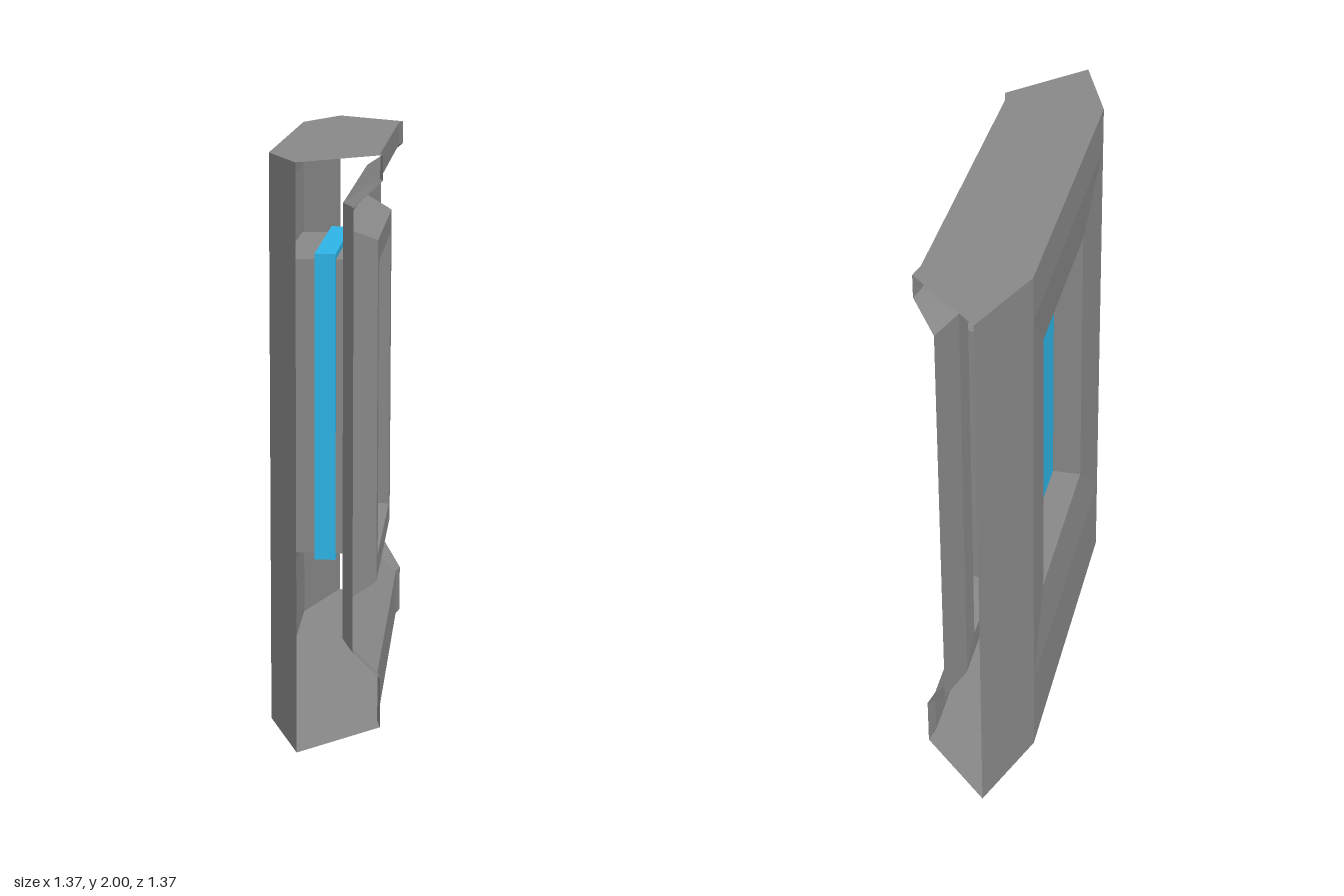
import * as THREE from 'three';

// Wall panel with a window, built facing +z and then turned 45 degrees.
// Points are [x along the wall, y, z through the wall].
const MID = 1.068; // height of the window centre

function mesh(name, quads) {
  const pos = [];
  for (const [a, b, c, d] of quads) pos.push(...a, ...b, ...c, ...a, ...c, ...d);
  const g = new THREE.BufferGeometry();
  g.setAttribute('position', new THREE.Float32BufferAttribute(pos, 3));
  g.computeVertexNormals();
  const m = new THREE.Mesh(g, new THREE.MeshStandardMaterial({
    color: 0x888888, flatShading: true, side: THREE.DoubleSide }));
  m.name = name;
  return m;
}

// Rectangle of half width w and half height h, centred on the window
const rect = (w, h, z) => [[-w, MID - h, z], [w, MID - h, z], [w, MID + h, z], [-w, MID + h, z]];

// Bands joining successive rectangles; flip for the rear side
function rings(rects, flip = false) {
  const out = [];
  for (let k = 0; k + 1 < rects.length; k++) {
    const o = rects[k], n = rects[k + 1];
    for (let i = 0; i < 4; i++) {
      const j = (i + 1) % 4, q = [o[i], o[j], n[j], n[i]];
      out.push(flip ? q.reverse() : q);
    }
  }
  return out;
}

// Strip between two rows of points
function strip(low, high) {
  return low.slice(1).map((p, i) => [low[i], p, high[i + 1], high[i]]);
}

// Mirrored rows across the front and back faces
const row = (y, half) => [
  ...half.map(([x, z]) => [-x, y, z]),
  ...half.slice().reverse().map(([x, z]) => [x, y, z])];

export function createModel() {
  const panel = new THREE.Group();
  panel.name = 'windowPanel';
  const OUT = [[0.70, 0.267], [0.637, 0.254]];  // lip profile
  const IN = [[0.791, 0.176], [0.637, 0.13]];   // recess profile
  const BACK = [[0.968, 0], [0.637, -0.121]];   // rear profile
  const LOW = 0.302, HIGH = 1.834;              // recess height range

  // Lips and bevels above and below the recess
  const levels = [[0, OUT], [0.18, OUT], [LOW, IN], [HIGH, IN], [1.915, OUT], [2, OUT]];
  const rows = levels.map(([y, half]) => row(y, half));
  panel.add(mesh('lowerLip', [...strip(rows[0], rows[1]), ...strip(rows[1], rows[2])]));
  panel.add(mesh('upperLip', [...strip(rows[3], rows[4]), ...strip(rows[4], rows[5])]));

  // Sloping sides of the recess
  const sides = strip(rows[2], rows[3]);
  panel.add(mesh('recessSides', [sides[0], sides[2]]));

  // Recess floor, raised trim and front reveal
  panel.add(mesh('frontTrim', rings([
    rect(0.637, 0.766, 0.13), rect(0.532, 0.668, 0.125), rect(0.445, 0.614, 0.237),
    rect(0.367, 0.534, 0.237), rect(0.367, 0.534, 0.085)])));

  // Rear wall around the splayed opening
  const b = [0, LOW, HIGH, 2].map(y => row(y, BACK));
  const rear = [];
  for (let k = 0; k < 3; k++) {
    strip(b[k], b[k + 1]).forEach((q, i) => {
      if (k !== 1 || i !== 1) rear.push(q.reverse());
    });
  }
  panel.add(mesh('rearWall', rear));
  panel.add(mesh('rearSplay', rings([
    rect(0.637, 0.766, -0.121), rect(0.365, 0.534, -0.10), rect(0.365, 0.534, 0.01)], true)));

  // Top and bottom caps; the two ends stay open
  const cap = y => {
    const f = row(y, OUT), r = row(y, BACK);
    return [[r[0], f[0], f[1], r[1]], [r[1], f[1], f[2], r[2]], [r[2], f[2], f[3], r[3]]];
  };
  panel.add(mesh('topCap', cap(2)));
  panel.add(mesh('bottomCap', cap(0).map(q => q.reverse())));

  // Glass slab held between the two reveals
  const glass = new THREE.Mesh(
    new THREE.BoxGeometry(0.76, 1.11, 0.075),
    new THREE.MeshStandardMaterial({ color: 0x2db4e6 }));
  glass.name = 'glass';
  glass.position.set(0, MID, 0.0475);
  panel.add(glass);

  panel.rotation.y = Math.PI / 4;
  const model = new THREE.Group();
  model.name = 'cornerWindow';
  model.add(panel);
  return model;
}
